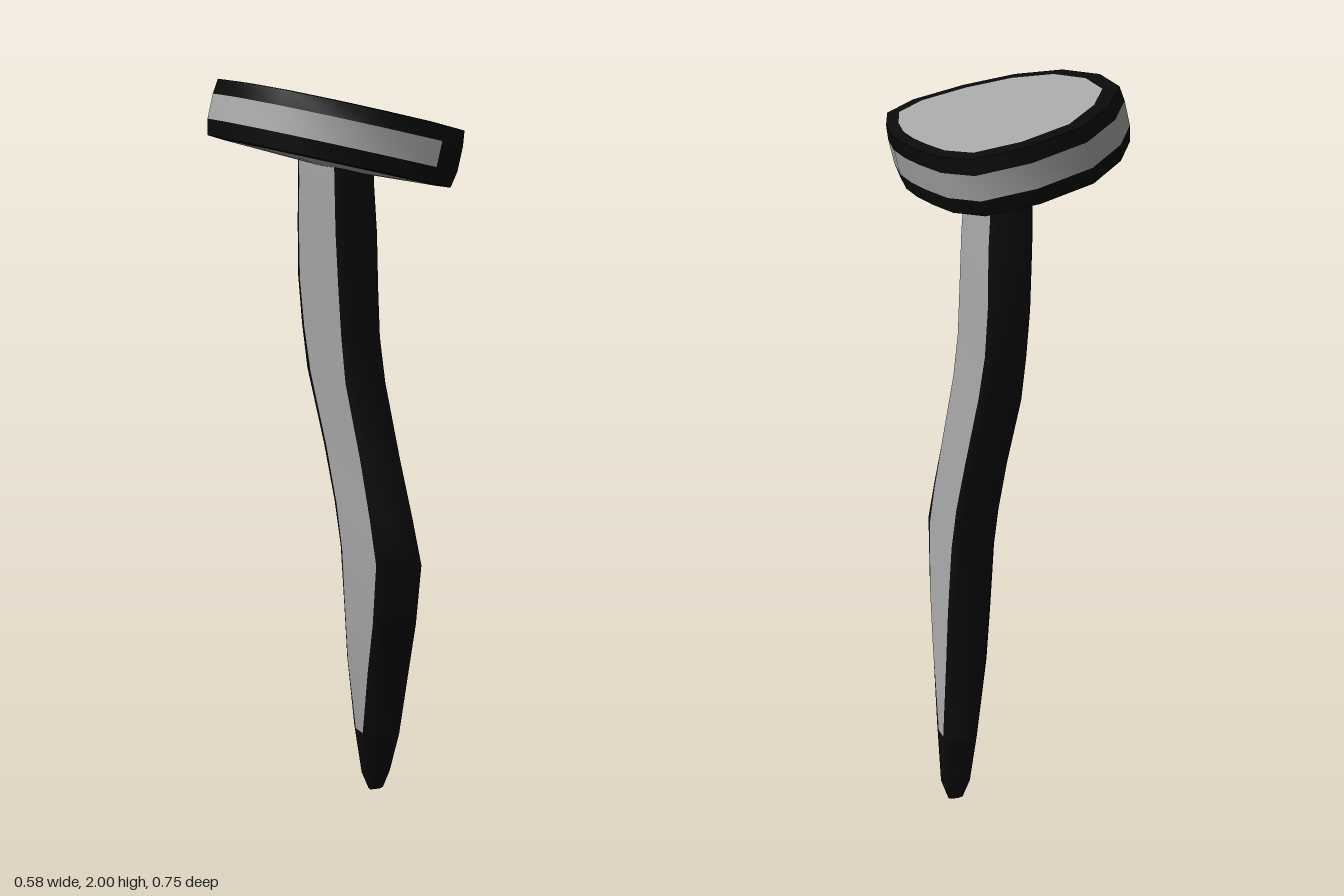
import * as THREE from 'three';
import { mergeVertices } from 'three/addons/utils/BufferGeometryUtils.js';

const steel = new THREE.MeshStandardMaterial({ color: 0xa8a8a8 });
steel.name = 'grey steel';
const ink = new THREE.MeshStandardMaterial({ color: 0x0a0a0a });
ink.name = 'black outline';

// Smooth skin over rows of points: rows run upwards, points run clockwise seen from above
function loft(name, material, rows) {
  const n = rows[0].length;
  const index = [];
  for (let r = 0; r < rows.length - 1; r++) {
    for (let i = 0; i < n - 1; i++) {
      const a = r * n + i, b = a + n;
      index.push(a, b, b + 1, a, b + 1, a + 1);
    }
  }
  let geometry = new THREE.BufferGeometry();
  geometry.setAttribute('position', new THREE.Float32BufferAttribute(rows.flat(2), 3));
  geometry.setIndex(index);
  geometry = mergeVertices(geometry, 1e-5);
  geometry.computeVertexNormals();
  const mesh = new THREE.Mesh(geometry, material);
  mesh.name = name;
  return mesh;
}

const close = (ring) => [...ring, ring[0]];
const fan = (ring, point) => ring.map(() => point);

// Bent flat shank: grey broad sides with black borders and edges
function createShank() {
  const group = new THREE.Group();
  group.name = 'shank';
  // y, left x, right x, front z, back z, front border, back border
  const sections = [
    [0, 0.16, 0.2, -0.015, -0.035, 0.005, 0.005],
    [0.05, 0.14, 0.217, 0.004, -0.05, 0.015, 0.015],
    [0.19, 0.112, 0.212, 0.075, -0.05, 0.05, 0.03],
    [0.4, 0.08, 0.197, 0.155, -0.032, 0.04, 0.026],
    [0.55, 0.063, 0.185, 0.215, -0.016, 0.04, 0.026],
    [0.73, 0.048, 0.17, 0.27, -0.01, 0.048, 0.03],
    [0.85, 0.042, 0.162, 0.233, -0.035, 0.037, 0.034],
    [1.0, 0.037, 0.152, 0.18, -0.09, 0.03, 0.038],
    [1.2, 0.023, 0.138, 0.12, -0.165, 0.03, 0.042],
    [1.32, 0.016, 0.128, 0.107, -0.183, 0.028, 0.036],
    [1.45, 0.008, 0.123, 0.105, -0.19, 0.028, 0.033],
    [1.6, -0.003, 0.115, 0.112, -0.17, 0.03, 0.03],
    [1.72, -0.01, 0.102, 0.12, -0.152, 0.03, 0.03],
    [1.83, -0.015, 0.098, 0.125, -0.145, 0.03, 0.03],
  ];
  const e = 0.012;
  const rings = sections.map(([y, xl, xr, zf, zb, bf, bb]) => close([
    [xl, y, zf - bf], [xl, y, zb + bb],
    [xl + e, y, zb], [xr - e, y, zb],
    [xr, y, zb + bb], [xr, y, zf - bf],
    [xr - e, y, zf], [xl + e, y, zf],
  ]));
  const upper = rings.slice(2);
  const columns = (from, to) => upper.map((ring) => ring.slice(from, to + 1));
  group.add(
    loft('rightFace', steel, columns(0, 1)),
    loft('backEdge', ink, columns(1, 4)),
    loft('leftFace', steel, columns(4, 5)),
    loft('frontEdge', ink, columns(5, 8)),
    loft('tip', ink, [fan(rings[0], [0.18, 0, -0.025]), ...rings.slice(0, 3)]),
  );
  return group;
}

// Tilted irregular disc with black rims and a grey band round its side
function createHead() {
  const group = new THREE.Group();
  group.name = 'head';
  const outline = [
    [-0.277, 0.045], [-0.267, -0.12], [-0.19, -0.25], [-0.075, -0.355],
    [0.075, -0.375], [0.205, -0.33], [0.255, -0.22], [0.273, -0.1],
    [0.282, 0], [0.282, 0.1], [0.265, 0.21], [0.228, 0.325],
    [0.14, 0.375], [0, 0.36], [-0.13, 0.305], [-0.23, 0.2],
  ];
  // Point on the slanted disc, h being the height along its axis
  const place = (x, z, h) => [x + 0.237 * h, 1.858 - 0.243 * x + 0.971 * h, z];
  const ring = (scale, h) => close(outline.map(([x, z]) =>
    place(0.05 + (x - 0.05) * scale, z * scale, h)));

  const underside = ring(0.86, -0.077);
  const lowerEdge = ring(0.975, -0.074);
  const bandBottom = ring(1, -0.032);
  const bandTop = ring(1, 0.034);
  const upperEdge = ring(0.985, 0.074);
  const top = ring(0.86, 0.077);

  // The band runs round from one side of the black front corner to the other
  const around = (r) => [...r.slice(12, 16), ...r.slice(0, 12)];
  const corner = (r) => r.slice(11, 13);
  group.add(
    loft('underside', steel, [fan(underside, place(0.05, 0, -0.09)), underside]),
    loft('undersideRim', ink, [underside, lowerEdge]),
    loft('lowerRim', ink, [lowerEdge, bandBottom]),
    loft('sideBand', steel, [around(bandBottom), around(bandTop)]),
    loft('cornerPatch', ink, [corner(bandBottom), corner(bandTop)]),
    loft('upperRim', ink, [bandTop, upperEdge]),
    loft('topRim', ink, [upperEdge, top]),
    loft('topFace', steel, [top, fan(top, place(0.05, 0, 0.077))]),
  );
  return group;
}

export function createModel() {
  const model = new THREE.Group();
  model.name = 'bentNail';
  model.add(createShank(), createHead());
  return model;
}
